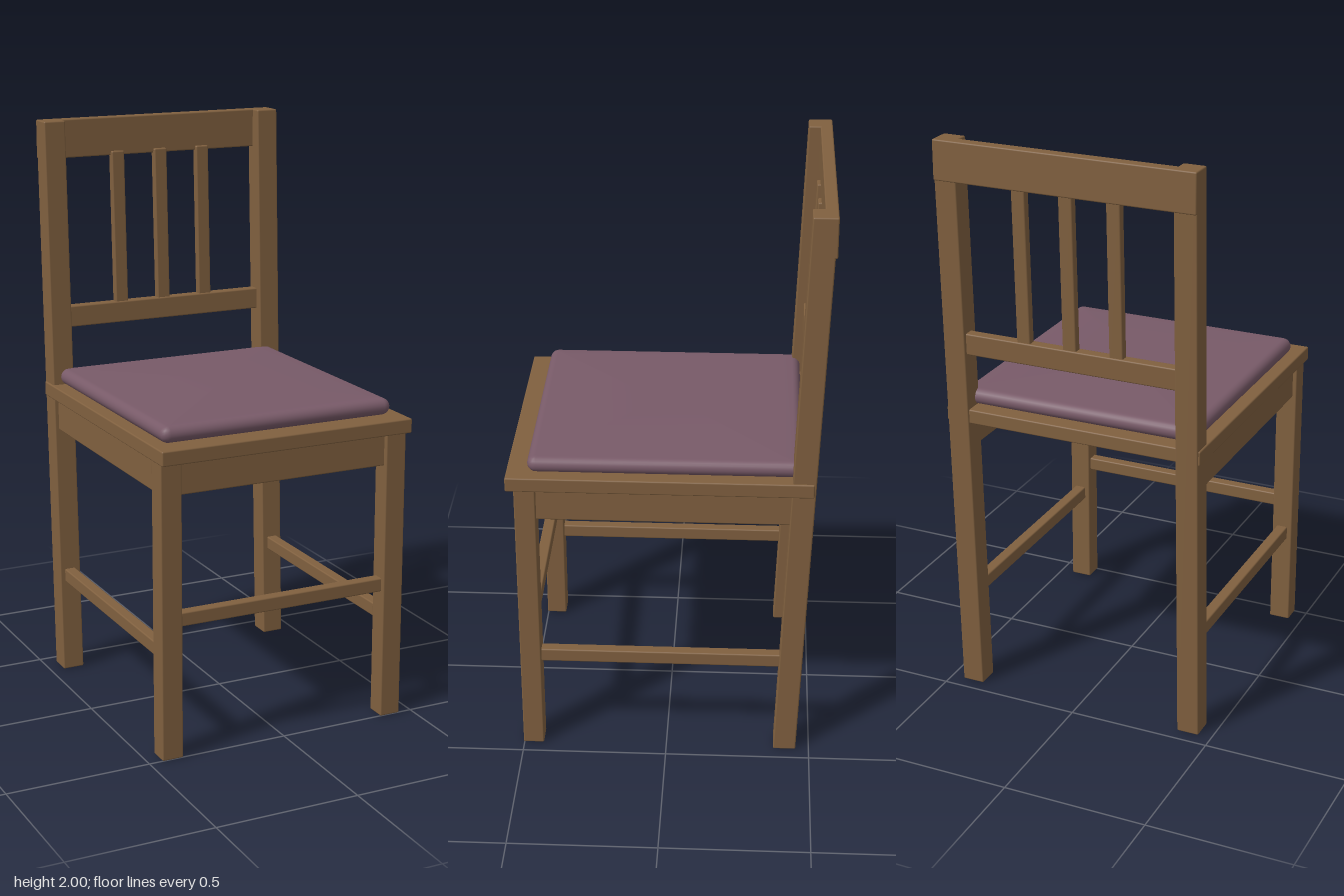
import * as THREE from 'three';
import { RoundedBoxGeometry } from 'three/addons/geometries/RoundedBoxGeometry.js';

const wood = new THREE.MeshStandardMaterial({ color: 0x80603f });
const fabric = new THREE.MeshStandardMaterial({ color: 0x785a68 });
const LEAN = 0.037; // backward z shift per unit of height

export function createModel() {
  const chair = new THREE.Group();
  chair.name = 'chair';

  // Softly edged timber given by its extents; lean shears it backward with height
  function timber(name, [x0, x1], [y0, y1], [z0, z1], lean = 0) {
    const g = new RoundedBoxGeometry(x1 - x0, y1 - y0, z1 - z0, 2, 0.005);
    g.translate((x0 + x1) / 2, (y0 + y1) / 2, (z0 + z1) / 2);
    if (lean) g.applyMatrix4(new THREE.Matrix4().set(1, 0, 0, 0, 0, 1, 0, 0, 0, -lean, 1, 0, 0, 0, 0, 1));
    const mesh = new THREE.Mesh(g, wood);
    mesh.name = name;
    chair.add(mesh);
  }

  // Legs, side aprons and side stretchers, mirrored
  for (const s of [1, -1]) {
    const side = s > 0 ? 'left' : 'right';
    const span = (a, b) => (s > 0 ? [a, b] : [-b, -a]);
    timber(side + 'FrontLeg', span(0.378, 0.453), [0, 1.03], [0.431, 0.503]);
    timber(side + 'BackPost', span(0.375, 0.453), [0, 2], [-0.454, -0.375], LEAN);
    timber(side + 'SideApron', span(0.398, 0.438), [0.905, 1.03], [-0.43, 0.45]);
    timber(side + 'SideStretcher', span(0.395, 0.435), [0.335, 0.383], [-0.41, 0.45]);
  }

  // Front cross pieces and seat board
  timber('frontApron', [-0.39, 0.39], [0.905, 1.03], [0.447, 0.487]);
  timber('frontStretcher', [-0.39, 0.39], [0.455, 0.503], [0.447, 0.487]);
  timber('seatBoard', [-0.459, 0.459], [1.02, 1.07], [-0.487, 0.53]);

  // Backrest
  timber('topRail', [-0.453, 0.453], [1.865, 2], [-0.53, -0.488]);
  timber('lowerBackRail', [-0.385, 0.385], [1.267, 1.342], [-0.442, -0.402], LEAN);
  for (const x of [-0.165, 0, 0.165])
    timber('backSlat', [x - 0.024, x + 0.024], [1.32, 1.88], [-0.437, -0.407], LEAN);

  // Cushion lofted from rounded rectangles: [inset, height] per ring
  const rings = [[0.42, 1.069], [0.03, 1.069]];
  for (let i = 1; i <= 10; i++) {
    const a = -Math.PI / 2 + (i / 10) * Math.PI;
    rings.push([0.028 * (1 - Math.cos(a)), 1.097 + 0.028 * Math.sin(a)]);
  }
  for (const t of [0.08, 0.2, 0.4, 0.6, 0.8, 0.995])
    rings.push([0.028 + t * 0.392, 1.125 + 0.009 * Math.sin((t * Math.PI) / 2)]);
  const pos = [], index = [], per = 5, n = 4 * per;
  for (const [inset, y] of rings) {
    const hx = 0.424 - inset, hz = 0.452 - inset;
    const r = Math.min(Math.max(0.03 - inset, 0.008), hx);
    for (let c = 0; c < 4; c++)
      for (let k = 0; k < per; k++) {
        const a = ((c + k / (per - 1)) * Math.PI) / 2;
        const sx = c === 0 || c === 3 ? 1 : -1, sz = c < 2 ? 1 : -1;
        pos.push(sx * (hx - r) + r * Math.cos(a), y, 0.008 + sz * (hz - r) + r * Math.sin(a));
      }
  }
  for (let j = 0; j < rings.length - 1; j++)
    for (let i = 0; i < n; i++) {
      const a = j * n + i, b = j * n + ((i + 1) % n);
      index.push(a, a + n, b, b, a + n, b + n);
    }
  const last = (rings.length - 1) * n; // close the crown
  for (let i = 1; i < n - 1; i++) index.push(last, last + i + 1, last + i);
  const g = new THREE.BufferGeometry();
  g.setAttribute('position', new THREE.Float32BufferAttribute(pos, 3));
  g.setIndex(index);
  g.computeVertexNormals();
  const cushion = new THREE.Mesh(g, fabric);
  cushion.name = 'seatCushion';
  chair.add(cushion);

  return chair;
}
